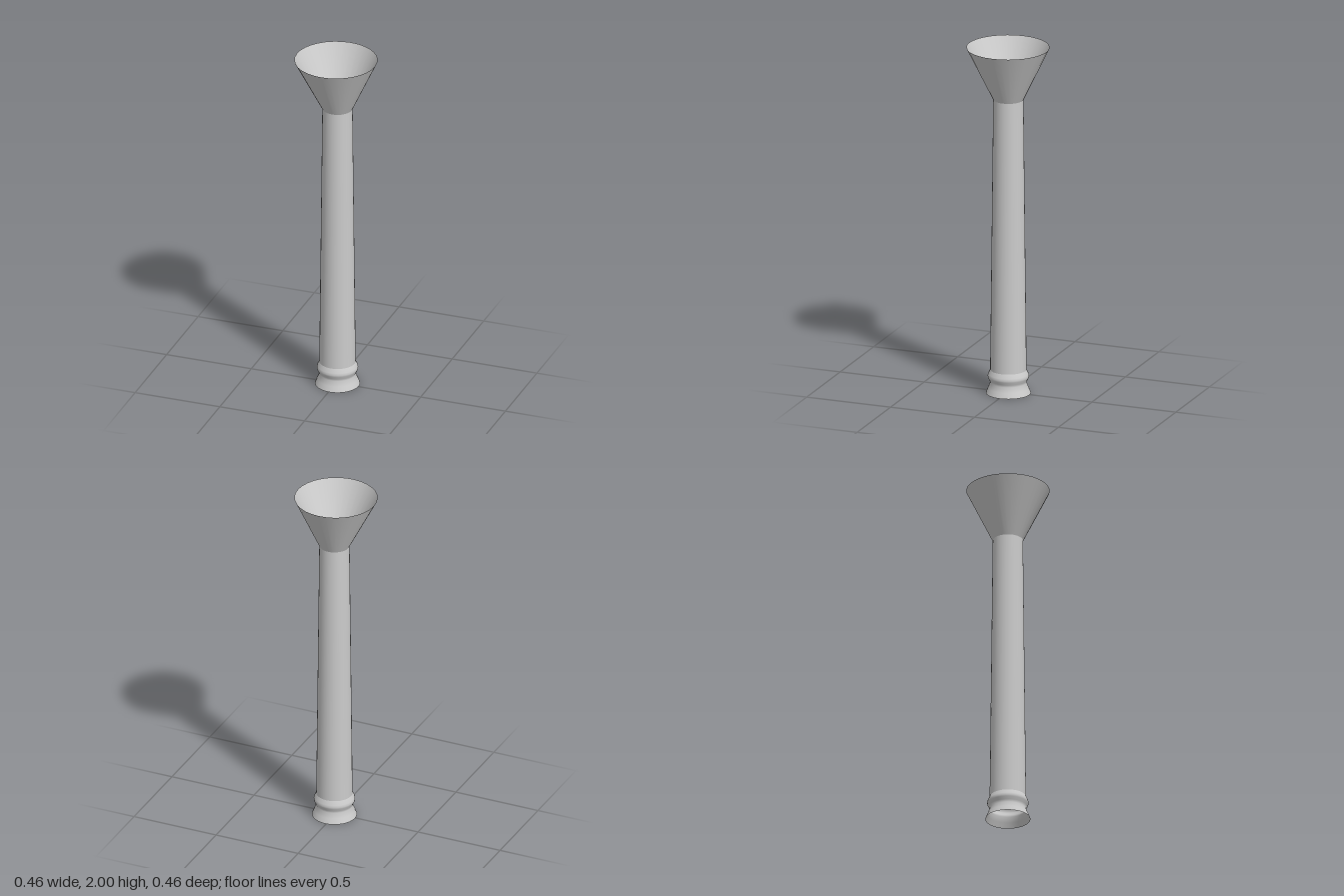
import * as THREE from 'three';

const SIDES = 32;
const AXIS_X = 0.007, AXIS_Z = -0.005; // the stem stands slightly off the rim's centre
const RIM_Y = 2, NECK_Y = 1.7;

const material = new THREE.MeshStandardMaterial({ color: 0xcccccc, side: THREE.DoubleSide });

// Open turned shell from [radius, height] pairs, listed bottom to top
function turned(name, profile) {
  const points = profile.map(([r, y]) => new THREE.Vector2(r, y));
  const mesh = new THREE.Mesh(new THREE.LatheGeometry(points, SIDES), material);
  mesh.name = name;
  return mesh;
}

export function createModel() {
  const group = new THREE.Group();
  group.name = 'flaredColumn';

  // Flared foot with a rounded ring above it
  const foot = turned('foot', [
    [0.125, 0], [0.113, 0.03], [0.101, 0.06], [0.106, 0.075],
    [0.113, 0.09], [0.115, 0.1], [0.112, 0.112], [0.101, 0.135],
  ]);

  // Long, gently tapering stem
  const stem = turned('stem', [[0.101, 0.135], [0.084, NECK_Y]]);

  for (const part of [foot, stem]) part.position.set(AXIS_X, 0, AXIS_Z);

  // Funnel, sheared so that its neck meets the stem
  const funnel = turned('funnel', [[0.084, NECK_Y], [0.231, RIM_Y]]);
  const pos = funnel.geometry.attributes.position;
  for (let i = 0; i < pos.count; i++) {
    const t = (RIM_Y - pos.getY(i)) / (RIM_Y - NECK_Y);
    pos.setX(i, pos.getX(i) + AXIS_X * t);
    pos.setZ(i, pos.getZ(i) + AXIS_Z * t);
  }

  group.add(foot, stem, funnel);
  return group;
}
